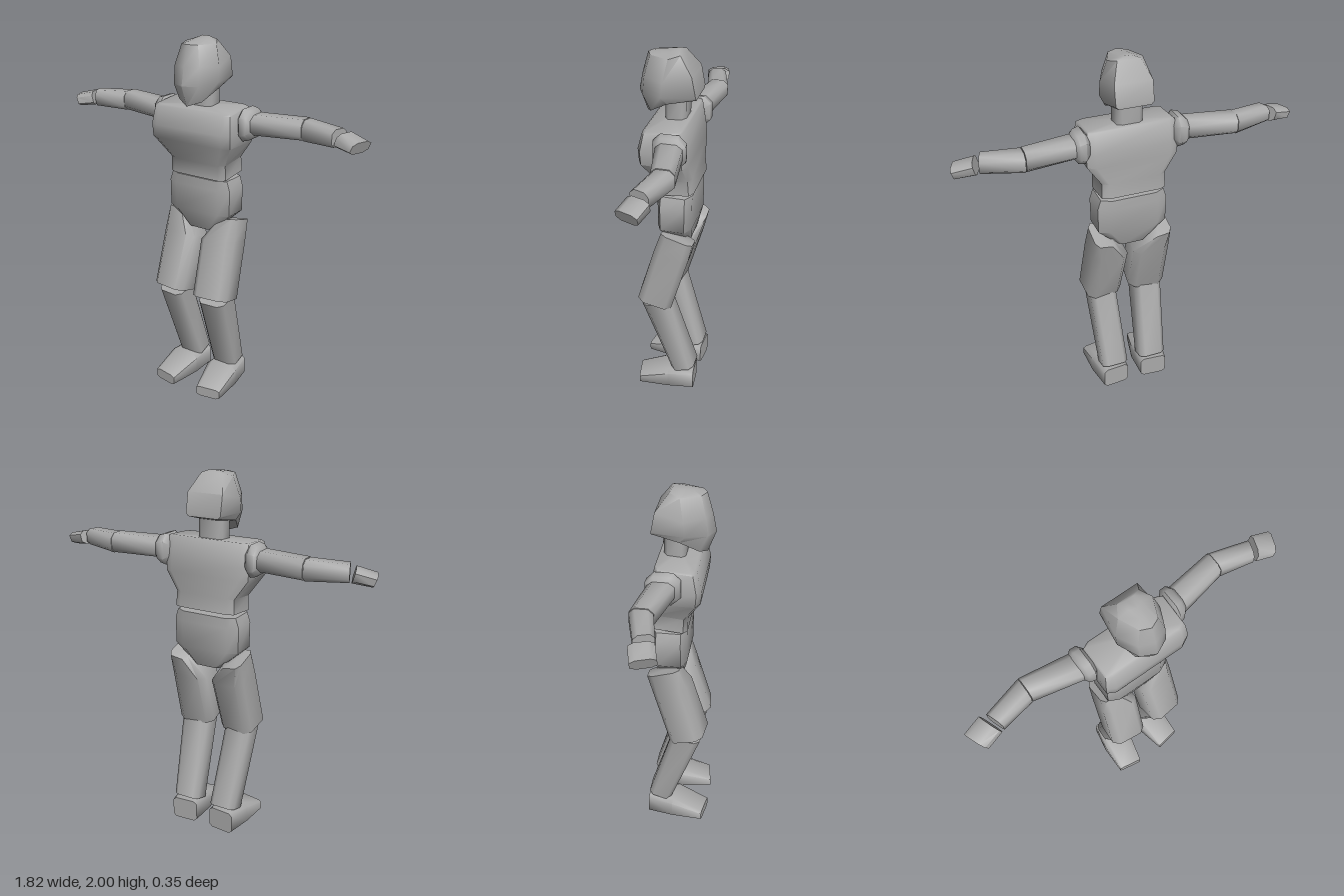
import * as THREE from 'three';
import { toCreasedNormals } from 'three/addons/utils/BufferGeometryUtils.js';

const grey = new THREE.MeshStandardMaterial({ color: 0xaaaaaa });
grey.name = 'plain grey';

// Eight-sided cross-section: centre c, half-axes u and v, corner cut as a fraction.
// Loops run counter-clockwise about u x v, the direction of the loft.
function ring(c, u, v, cut = 0.4) {
  const k = 1 - cut;
  return [[1, -k], [1, k], [k, 1], [-k, 1], [-1, k], [-1, -k], [-k, -1], [k, -1]]
    .map(([a, b]) => c.map((p, i) => p + a * u[i] + b * v[i]));
}

// Level section facing up; tilt is the rise of the back edge.
const level = (x, y, z, hx, hz, cut, tilt = 0) => ring([x, y, z], [hx, 0, 0], [0, tilt, -hz], cut);

// Capped skin over a list of rings; side -1 mirrors it to the other half.
function loft(name, rings, side = 1, crease = 1.0) {
  const n = rings[0].length, pos = [], index = [];
  const loops = rings.map(r => {
    const m = r.map(([x, y, z]) => [x * side, y, z]);
    return side < 0 ? m.reverse() : m;
  });
  loops.forEach(r => r.forEach(p => pos.push(...p)));
  for (let j = 0; j < loops.length - 1; j++) {
    for (let i = 0; i < n; i++) {
      const a = j * n + i, b = j * n + (i + 1) % n;
      index.push(a, b, b + n, a, b + n, a + n);
    }
  }
  [0, loops.length - 1].forEach((j, end) => {
    const centre = pos.length / 3;
    pos.push(...[0, 1, 2].map(k => loops[j].reduce((s, p) => s + p[k], 0) / n));
    for (let i = 0; i < n; i++) {
      const a = j * n + i, b = j * n + (i + 1) % n;
      index.push(centre, end ? a : b, end ? b : a);
    }
  });
  const geo = new THREE.BufferGeometry();
  geo.setAttribute('position', new THREE.Float32BufferAttribute(pos, 3));
  geo.setIndex(index);
  const mesh = new THREE.Mesh(toCreasedNormals(geo, crease), grey);
  mesh.name = name;
  return mesh;
}

// Head ring from the front midpoint and three points on the left half.
const headRing = (front, ...half) =>
  [front, ...half, ...half.slice().reverse().map(([x, y, z]) => [-x, y, z])];

export function createModel() {
  const model = new THREE.Group();
  model.name = 'mannequin';

  // Head with pointed chin and tapering crown
  model.add(loft('head', [
    headRing([0, 1.665, 0.13], [0.07, 1.69, 0.095], [0.11, 1.75, 0], [0.085, 1.775, -0.143]),
    headRing([0, 1.775, 0.172], [0.075, 1.775, 0.135], [0.124, 1.785, 0.03], [0.1, 1.79, -0.143]),
    headRing([0, 1.87, 0.153], [0.075, 1.87, 0.125], [0.124, 1.86, 0.02], [0.1, 1.895, -0.122]),
    headRing([0, 1.975, 0.123], [0.05, 1.973, 0.1], [0.093, 1.972, 0], [0.06, 1.985, -0.055]),
    headRing([0, 1.985, 0.07], [0.02, 1.985, 0.06], [0.035, 1.99, 0], [0.02, 2.0, -0.04]),
  ]));

  model.add(loft('neck', [
    level(0, 1.63, -0.03, 0.07, 0.055, 0.35),
    level(0, 1.78, -0.03, 0.07, 0.055, 0.35),
  ]));

  model.add(loft('chest', [
    level(0, 1.28, -0.052, 0.175, 0.1, 0.2, 0.01),
    level(0, 1.36, -0.047, 0.172, 0.097, 0.2, 0.01),
    level(0, 1.47, -0.008, 0.243, 0.128, 0.18),
    level(0, 1.54, -0.002, 0.245, 0.127, 0.18),
    level(0, 1.645, -0.005, 0.233, 0.105, 0.15, 0.01),
    level(0, 1.653, -0.008, 0.225, 0.095, 0.15, 0.008),
  ]));

  model.add(loft('hips', [
    level(0, 0.967, -0.05, 0.08, 0.07, 0.3),
    level(0, 1.07, -0.048, 0.19, 0.092, 0.3),
    level(0, 1.21, -0.048, 0.193, 0.092, 0.3),
    level(0, 1.265, -0.048, 0.175, 0.092, 0.3),
  ]));

  for (const side of [1, -1]) {
    const label = side > 0 ? 'left' : 'right';
    const add = (part, rings) => model.add(loft(label + part, rings, side));

    // Leg: slanted thigh top, bent knee, wedge foot turned out
    add('Thigh', [
      ring([0.132, 0.597, 0.057], [0.102, 0, -0.012], [-0.008, -0.025, -0.092], 0.35),
      ring([0.122, 0.905, -0.036], [0.102, 0.01, -0.008], [-0.005, -0.025, -0.092], 0.35),
      ring([0.163, 1.025, -0.075], [0.055, 0.008, 0], [0, -0.025, -0.085], 0.35),
    ]);
    add('Shin', [
      ring([0.117, 0.13, -0.108], [0.076, 0, 0], [0, 0.02, -0.062], 0.35),
      ring([0.137, 0.588, 0.048], [0.078, 0, -0.006], [0, 0.013, -0.08], 0.35),
    ]);
    add('Foot', [
      ring([0.118, 0.0625, -0.168], [0.075, 0, -0.006], [0, 0.0625, 0], 0.25),
      ring([0.13, 0.0625, -0.02], [0.09, 0, -0.01], [0, 0.0625, 0], 0.3),
      ring([0.15, 0.029, 0.153], [0.07, 0, -0.012], [0, 0.029, 0], 0.3),
    ]);

    // Arm sections stand upright and face outward along x
    const arm = (x, y, z, hy, hz, skewZ = 0, skewY = 0, cut = 0.45) =>
      ring([x, y, z], [skewY, hy, 0], [-skewZ, 0, hz], cut);
    add('Shoulder', [
      arm(0.225, 1.575, -0.055, 0.055, 0.06),
      arm(0.25, 1.575, -0.055, 0.084, 0.085),
      arm(0.285, 1.575, -0.06, 0.075, 0.083),
      arm(0.308, 1.58, -0.063, 0.05, 0.06),
    ]);
    add('UpperArm', [
      arm(0.3, 1.58, -0.063, 0.053, 0.068, 0),
      arm(0.56, 1.583, -0.108, 0.053, 0.058, 0),
    ]);
    add('Forearm', [
      arm(0.563, 1.58, -0.108, 0.053, 0.058, 0),
      arm(0.76, 1.58, -0.06, 0.045, 0.047, 0.016),
    ]);
    add('Hand', [
      arm(0.783, 1.575, -0.066, 0.036, 0.057, 0.02, 0.01),
      arm(0.88, 1.556, -0.041, 0.03, 0.057, 0.022, 0.012),
    ]);
  }
  return model;
}
